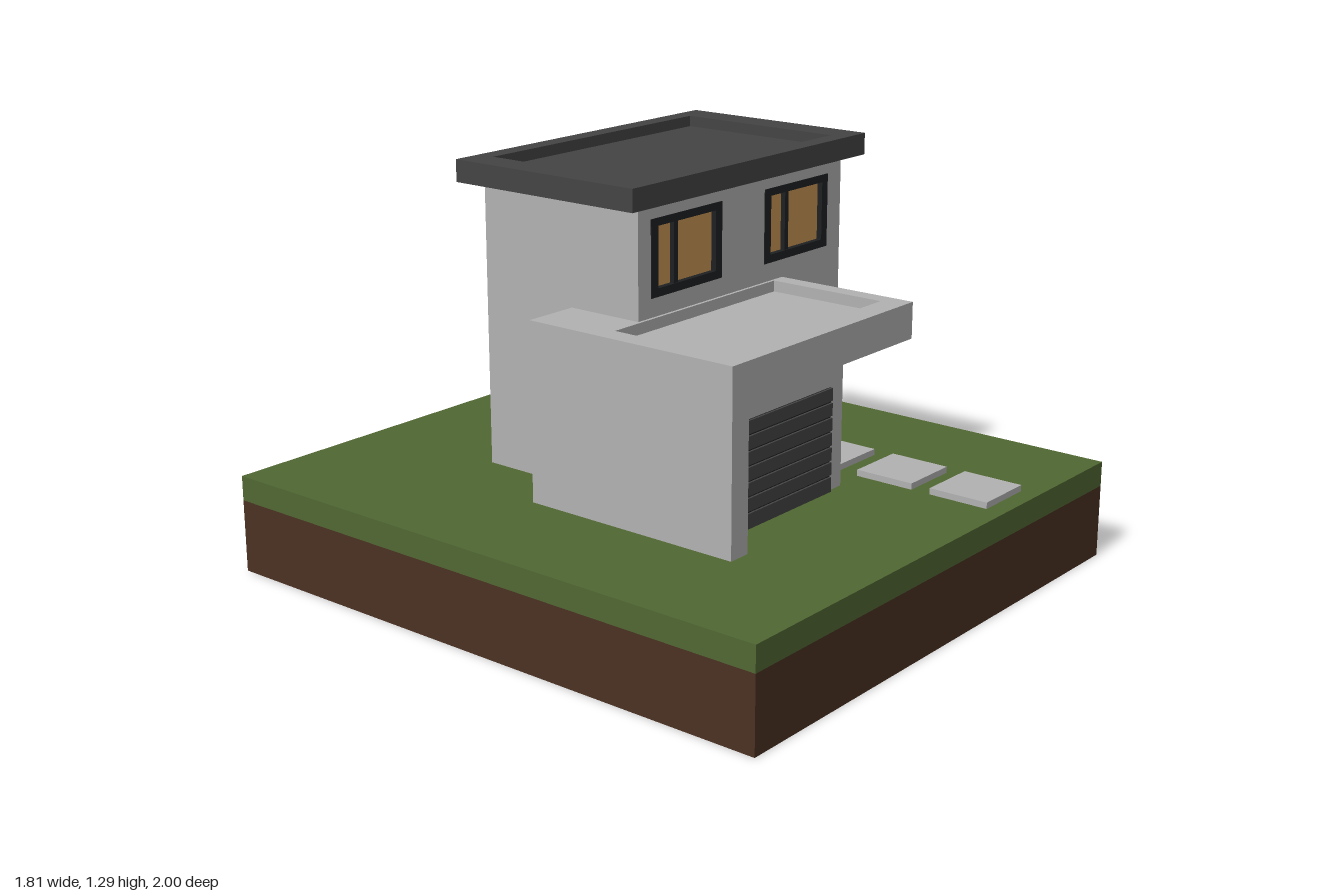
import * as THREE from 'three';

const material = (name, color) => {
  const m = new THREE.MeshStandardMaterial({ color });
  m.name = name;
  return m;
};

export function createModel() {
  const wall = material('wall grey', 0xb2b2b2);
  const roofDark = material('roof charcoal', 0x444444);
  const trim = material('black trim', 0x1f2022);
  const glass = material('warm glass', 0xc99556);
  const grass = material('grass green', 0x506833);
  const soil = material('soil brown', 0x4b3222);

  const model = new THREE.Group();
  model.name = 'house';

  const add = (name, geometry, mat, parent = model) => {
    const mesh = new THREE.Mesh(geometry, mat);
    mesh.name = name;
    parent.add(mesh);
    return mesh;
  };

  // Box given by its limits on each axis
  const box = (name, mat, [x0, x1], [y0, y1], [z0, z1], parent) => {
    const g = new THREE.BoxGeometry(x1 - x0, y1 - y0, z1 - z0);
    g.translate((x0 + x1) / 2, (y0 + y1) / 2, (z0 + z1) / 2);
    return add(name, g, mat, parent);
  };

  // Rectangle with rectangular holes, extruded along z; rects are [x0, x1, y0, y1]
  const trace = (path, [x0, x1, y0, y1]) =>
    path.moveTo(x0, y0).lineTo(x1, y0).lineTo(x1, y1).lineTo(x0, y1).lineTo(x0, y0);
  const pierced = (outer, holes, z0, z1) => {
    const shape = trace(new THREE.Shape(), outer);
    shape.holes = holes.map(h => trace(new THREE.Path(), h));
    const g = new THREE.ExtrudeGeometry(shape, { depth: z1 - z0, bevelEnabled: false });
    return g.translate(0, 0, z0);
  };

  // Ground block
  const ground = 0.315;
  box('soilBase', soil, [-0.905, 0.905], [0, 0.235], [-1, 1]);
  box('lawn', grass, [-0.905, 0.905], [0.235, ground], [-1, 1]);

  // Stepping stones
  for (const z of [0.305, 0.575, 0.84]) {
    box('steppingStone', wall, [0.305, 0.505], [ground, 0.335], [z - 0.1, z + 0.1]);
  }

  // House core, wrapped on two sides by walls with window openings
  const skin = 0.02, top = 1.22;
  box('houseCore', wall, [-0.32, 0.67], [ground, top], [-0.49, 0.1]);

  const frontWindows = [[-0.263, 0.07, 0.938, 1.175], [0.284, 0.617, 0.938, 1.175]];
  const sideWindows = [[0.096, 0.289, 0.917, 1.153], [0.096, 0.289, 0.508, 0.742]];

  const buildWall = (name, outer, windows, hasMullion) => {
    const group = new THREE.Group();
    group.name = name;
    add(name + 'Panel', pierced(outer, windows, 0, skin), wall, group);
    for (const [x0, x1, y0, y1] of windows) {
      const inner = [x0 + 0.032, x1 - 0.03, y0 + 0.026, y1 - 0.024];
      add('windowFrame', pierced([x0, x1, y0, y1], [inner], 0, skin + 0.002), trim, group);
      box('windowGlass', glass, inner.slice(0, 2), inner.slice(2), [0, 0.004], group);
      if (hasMullion) {
        box('windowMullion', trim, [x0 + 0.107, x0 + 0.125], inner.slice(2), [0, skin], group);
      }
    }
    model.add(group);
    return group;
  };
  buildWall('frontWall', [-0.32, 0.69, ground, top], frontWindows, true).position.z = 0.1;
  const side = buildWall('sideWall', [-0.1, 0.49, ground, top], sideWindows, false);
  side.rotation.y = Math.PI / 2;
  side.position.x = 0.67;

  // Flat roof with a raised rim around a sunken field
  const flatRoof = (name, mat, [x0, x1], [y0, y1], [z0, z1], [a0, a1, b0, b1]) => {
    const floor = y1 - 0.035;
    box(name + 'Slab', mat, [x0, x1], [y0, floor], [z0, z1]);
    const rim = pierced([x0, x1, -z1, -z0], [[a0, a1, -b1, -b0]], floor, y1);
    add(name + 'Rim', rim.rotateX(-Math.PI / 2), mat);
  };
  flatRoof('mainRoof', roofDark, [-0.39, 0.765], [top, 1.29], [-0.54, 0.16],
    [-0.29, 0.66, -0.48, 0.1]);
  flatRoof('garageRoof', wall, [-0.505, 0.38], [0.765, 0.88], [-0.14, 0.61],
    [-0.435, 0.325, 0.13, 0.53]);

  // Garage body and the side wall that reaches forward to the roof edge
  box('garageBody', wall, [-0.43, 0.2], [ground, 0.765], [-0.14, 0.485]);
  box('garageSideWall', wall, [-0.505, -0.43], [ground, 0.765], [-0.14, 0.61]);

  // Garage door: slats over a dark backing
  box('garageDoorBacking', trim, [-0.38, 0.135], [ground, 0.645], [0.485, 0.489]);
  const slats = 7, pitch = (0.645 - ground) / slats;
  for (let i = 0; i < slats; i++) {
    const y = ground + i * pitch;
    box('garageDoorSlat', roofDark, [-0.38, 0.135], [y + (i ? 0.007 : 0), y + pitch], [0.489, 0.496]);
  }

  // Front door
  const doorFrame = pierced([0.217, 0.411, 0.348, 0.746], [[0.248, 0.381, 0.367, 0.722]], 0.12, 0.149);
  add('frontDoorFrame', doorFrame, trim);
  box('frontDoorPanel', wall, [0.248, 0.381], [0.367, 0.722], [0.12, 0.128]);

  return model;
}
